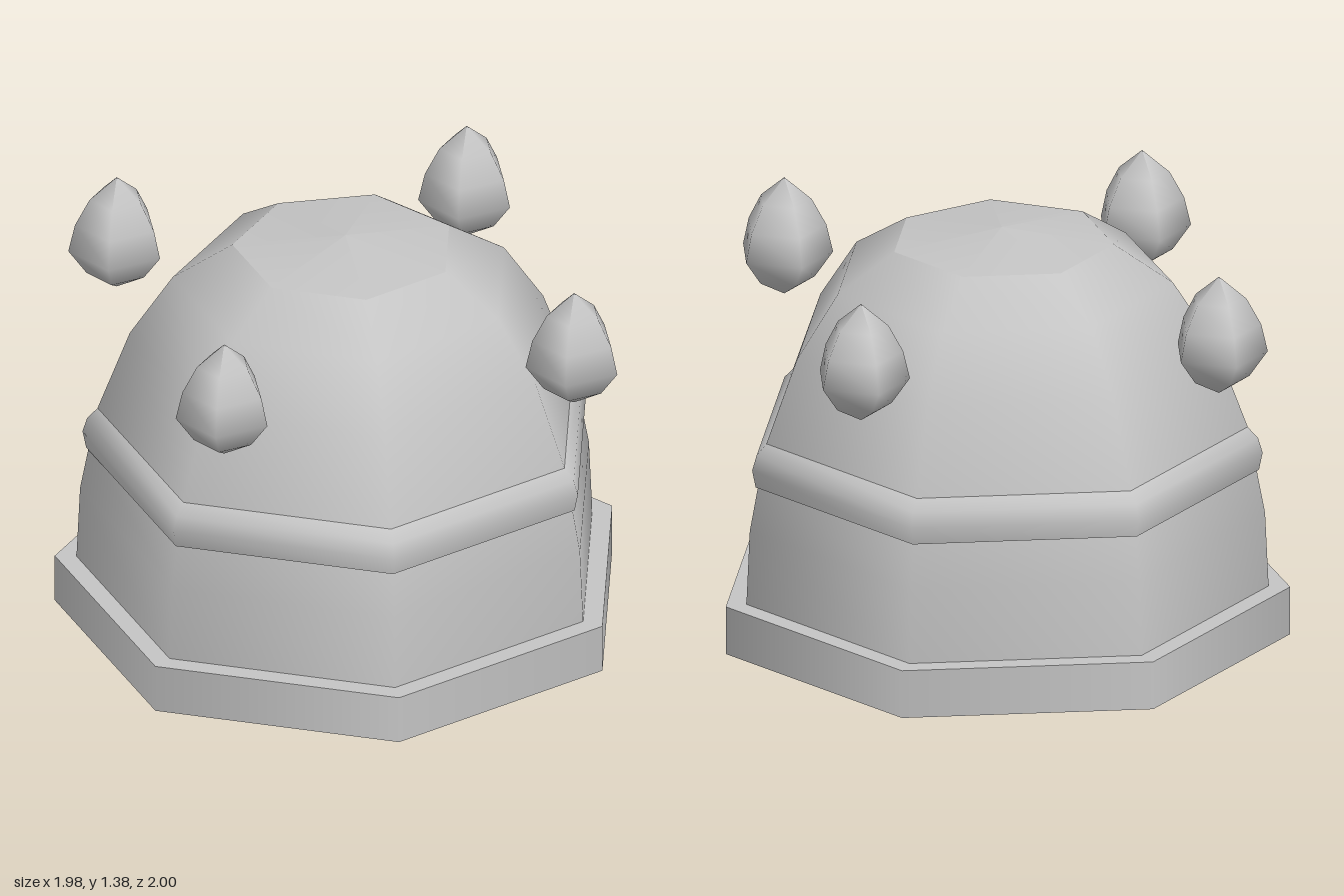
import * as THREE from 'three';

const stone = new THREE.MeshStandardMaterial({ color: 0xc4c4c4 });
stone.name = 'grey stone';

// Low-sided turned part with a corner pointing to +x
function turned(name, profile, sides) {
  const points = profile.map(([r, y]) => new THREE.Vector2(r, y));
  const mesh = new THREE.Mesh(new THREE.LatheGeometry(points, sides, Math.PI / 2), stone);
  mesh.name = name;
  return mesh;
}

export function createModel() {
  const model = new THREE.Group();
  model.name = 'domedTower';
  model.position.x = 0;
  const body = new THREE.Group();
  body.name = 'body';
  body.position.x = -0.018;
  model.add(body);

  // Seven-sided plinth
  const plinth = new THREE.Mesh(
    new THREE.CylinderGeometry(0.951, 0.951, 0.165, 7, 1, false, Math.PI / 2), stone);
  plinth.name = 'plinth';
  plinth.position.y = 0.0825;
  body.add(plinth);

  // Wall and dome in one smooth profile
  body.add(turned('dome', [
    [0.88, 0.16], [0.868, 0.42], [0.838, 0.58], [0.81, 0.72],
    [0.705, 1.0], [0.565, 1.21], [0.37, 1.335],
  ], 7));
  body.add(turned('domeCap', [[0.37, 1.335], [0, 1.378]], 7));

  // Rounded band around the waist
  body.add(turned('bandUnderside', [[0.8, 0.57], [0.848, 0.57]], 7));
  body.add(turned('band', [
    [0.848, 0.57], [0.86, 0.63], [0.845, 0.68], [0.81, 0.718], [0.79, 0.72],
  ], 7));

  // Four floating drops around the dome
  const dropProfile = [
    [0, 0.972], [0.1, 1.03], [0.16, 1.115], [0.138, 1.21], [0.09, 1.3], [0, 1.378],
  ];
  for (let i = 0; i < 4; i++) {
    const drop = turned('drop' + (i + 1), dropProfile, 5);
    const angle = (i * Math.PI) / 2;
    drop.position.set(0.846 * Math.cos(angle), 0, 0.846 * Math.sin(angle));
    body.add(drop);
  }
  return model;
}
